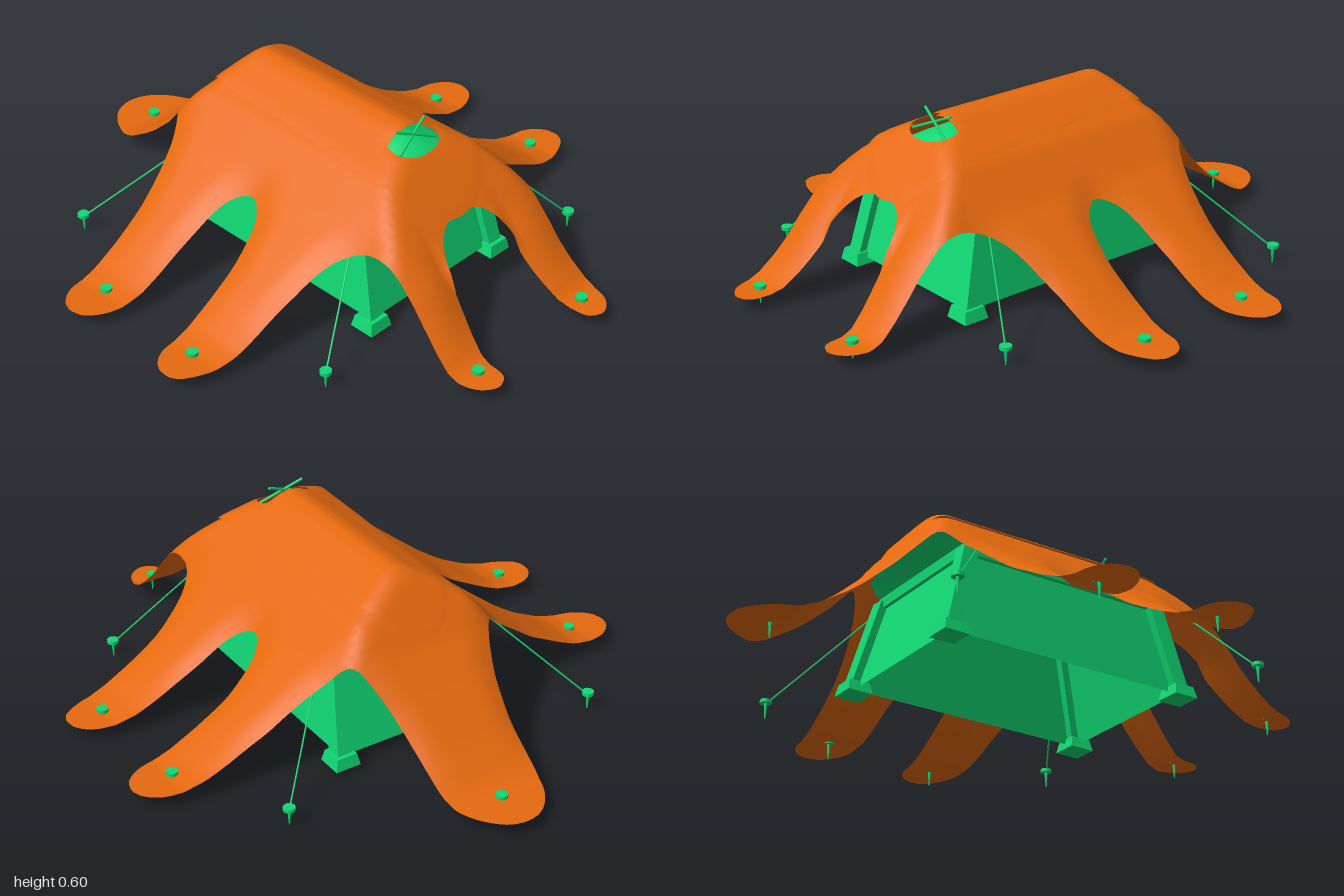
import * as THREE from 'three';

const V = (x, y, z) => new THREE.Vector3(x, y, z);
const hideMat = new THREE.MeshStandardMaterial({ color: 0xe5690f, side: THREE.DoubleSide });
const frameMat = new THREE.MeshStandardMaterial({ color: 0x10d873, side: THREE.DoubleSide });

// Piecewise-linear profile lookup
function profile(points, t) {
  let i = 1;
  while (i < points.length - 1 && points[i][0] < t) i++;
  const [a, ya] = points[i - 1], [b, yb] = points[i];
  return ya + (yb - ya) * THREE.MathUtils.clamp((t - a) / (b - a), 0, 1);
}

// Height of the draped hide: the lower of the side slope and the end slope, blended
const SIDE = [[0, 0.575], [0.04, 0.565], [0.2, 0.475], [0.33, 0.345], [0.5, 0.215], [0.65, 0.115], [0.73, 0.07], [0.8, 0.05], [1, 0.048]];
const END = [[-1, 0.048], [-0.85, 0.052], [-0.79, 0.08], [-0.7, 0.15], [-0.55, 0.285], [-0.45, 0.39], [-0.3, 0.58], [-0.2, 0.75],
  [0.26, 0.75], [0.36, 0.59], [0.45, 0.51], [0.6, 0.355], [0.7, 0.25], [0.8, 0.125], [0.86, 0.065], [0.9, 0.05], [1, 0.048]];
function drapeHeight(x, z) {
  const a = profile(SIDE, Math.abs(x)), b = profile(END, z), k = 0.05;
  const h = Math.max(k - Math.abs(a - b), 0) / k;
  return Math.max(Math.min(a, b) - h * h * k * 0.25, 0.046);
}

// Closed smooth outline from its +x half, listed from front centre to back centre
function mirroredOutline(half, samples) {
  const other = half.slice(1, -1).reverse().map(([x, z]) => [-x, z]);
  const pts = [...half, ...other].map(([x, z]) => V(x, 0, z));
  return new THREE.CatmullRomCurve3(pts, true, 'centripetal').getSpacedPoints(samples).slice(0, -1);
}

function inside(poly, x, z) {
  let hit = false;
  poly.forEach((p, i) => {
    const q = poly[(i + 1) % poly.length];
    if ((p.z > z) !== (q.z > z) && x < p.x + (q.x - p.x) * (z - p.z) / (q.z - p.z)) hit = !hit;
  });
  return hit;
}

// Cloth over the tent: grid cells inside the outline, with border points pulled onto it
function drapedCloth(outline, hole, step, heightAt) {
  const n = Math.ceil(1.04 / step), w = 2 * n + 1;
  const rims = [...outline, ...hole];
  const keep = (i, j) => {
    const x = (i + 0.5) * step, z = (j + 0.5) * step;
    return inside(outline, x, z) && !inside(hole, x, z);
  };
  const cells = new Set(), uses = new Map();
  for (let i = -n; i < n; i++) for (let j = -n; j < n; j++) {
    if (!keep(i, j)) continue;
    cells.add([i, j]);
    for (const [a, b] of [[0, 0], [0, 1], [1, 1], [1, 0]]) {
      const key = (i + a + n) * w + j + b + n;
      uses.set(key, (uses.get(key) || 0) + 1);
    }
  }
  const pos = [], ids = new Map(), index = [];
  for (const [key, count] of uses) {
    let x = (Math.floor(key / w) - n) * step, z = (key % w - n) * step;
    let best = Infinity, near = null;
    for (const p of rims) {
      const d = Math.hypot(p.x - x, p.z - z);
      if (d < best) { best = d; near = p; }
    }
    if (count < 4) { x = near.x; z = near.z; best = 0; }
    ids.set(key, pos.length / 3);
    pos.push(x, heightAt(x, z, best), z);
  }
  for (const [i, j] of cells) {
    const id = (a, b) => ids.get((i + a + n) * w + j + b + n);
    index.push(id(0, 0), id(0, 1), id(1, 1), id(0, 0), id(1, 1), id(1, 0));
  }
  const g = new THREE.BufferGeometry();
  g.setAttribute('position', new THREE.Float32BufferAttribute(pos, 3));
  g.setIndex(index);
  g.computeVertexNormals();
  return g;
}

export function createModel() {
  const model = new THREE.Group();
  const add = (name, geo, mat, parent = model) => {
    const m = new THREE.Mesh(geo, mat);
    m.name = name;
    parent.add(m);
    return m;
  };
  // Bar between two points; four sides gives a square timber
  const bar = (name, a, b, r, sides = 4, parent = model) => {
    const g = new THREE.CylinderGeometry(r, r, a.distanceTo(b), sides, 1);
    if (sides === 4) g.rotateY(Math.PI / 4);
    const m = add(name, sides === 4 ? g.toNonIndexed() : g, frameMat, parent);
    if (sides === 4) m.geometry.computeVertexNormals();
    m.position.copy(a).lerp(b, 0.5);
    m.quaternion.setFromUnitVectors(V(0, 1, 0), b.clone().sub(a).normalize());
    return m;
  };

  // Hide with seven legs: two front, two on each side, one at the back
  const hideOutline = mirroredOutline([[0, 0.6], [0.07, 0.6], [0.13, 0.65], [0.16, 0.76], [0.19, 0.88], [0.205, 0.97], [0.25, 0.993],
    [0.305, 0.96], [0.33, 0.89], [0.32, 0.74], [0.32, 0.6], [0.33, 0.49], [0.39, 0.415], [0.52, 0.365], [0.75, 0.34], [0.86, 0.31],
    [0.92, 0.265], [0.92, 0.2], [0.87, 0.15], [0.74, 0.13], [0.5, 0.11], [0.39, 0.08], [0.345, 0.02], [0.385, -0.05], [0.5, -0.09],
    [0.75, -0.1], [0.86, -0.12], [0.92, -0.17], [0.925, -0.235], [0.87, -0.29], [0.75, -0.31], [0.55, -0.33], [0.38, -0.365],
    [0.27, -0.42], [0.21, -0.52], [0.18, -0.65], [0.165, -0.82], [0.125, -0.92], [0.06, -0.985], [0, -1]], 640);
  const smokeHole = mirroredOutline([[0, 0.45], [0.05, 0.445], [0.088, 0.42], [0.095, 0.39], [0.085, 0.36], [0, 0.355]], 60);
  add('hide', drapedCloth(hideOutline, smokeHole, 0.02, (x, z, d) => {
    const y = drapeHeight(x, z);
    const droop = Math.max(1 - d / 0.09, 0) ** 2 * 0.025;
    return y - (Math.abs(x) < 0.15 && z > 0 ? 0 : droop * Math.min((y - 0.046) / 0.15, 1));
  }), hideMat);

  // Second layer along the ridge, lying just above the hide
  const coverOutline = mirroredOutline([[0, 0.605], [0.08, 0.59], [0.15, 0.55], [0.2, 0.49], [0.195, 0.42], [0.185, 0.2], [0.17, 0],
    [0.16, -0.3], [0.14, -0.365], [0.09, -0.425], [0.04, -0.447], [0, -0.45]], 260);
  add('ridgeCover', drapedCloth(coverOutline, smokeHole, 0.016, (x, z, d) => drapeHeight(x, z) + (d > 0 ? 0.012 : 0.009)), hideMat);

  // Inner roof under the hide
  const liningOutline = [V(-0.26, 0, -0.38), V(0.26, 0, -0.38), V(0.26, 0, 0.48), V(-0.26, 0, 0.48)];
  const lining = [];
  liningOutline.forEach((p, i) => {
    for (let t = 0; t < 20; t++) lining.push(p.clone().lerp(liningOutline[(i + 1) % 4], t / 20));
  });
  add('innerRoof', drapedCloth(lining, [], 0.04, (x, z) => drapeHeight(x, z) - 0.035), frameMat);

  // Timber frame: four leaning posts on feet, eave beams and sloping walls
  const base = [V(0.285, 0.04, 0.49), V(0.285, 0.04, -0.4), V(-0.285, 0.04, -0.4), V(-0.285, 0.04, 0.49)];
  const top = [V(0.25, 0.35, 0.415), V(0.25, 0.35, -0.315), V(-0.25, 0.35, -0.315), V(-0.25, 0.35, 0.415)];
  base.forEach((p, i) => {
    const j = (i + 1) % 4;
    bar('post', p, top[i], 0.038);
    bar('eaveBeam', top[i], top[j], 0.026);
    const foot = add('foot', new THREE.CylinderGeometry(0.052, 0.064, 0.04, 4).rotateY(Math.PI / 4).toNonIndexed(), frameMat);
    foot.geometry.computeVertexNormals();
    foot.position.set(p.x, 0.04, p.z);
    const wall = new THREE.BufferGeometry().setFromPoints([p, base[j], top[j], p, top[j], top[i]]);
    wall.computeVertexNormals();
    add('wall', wall, frameMat);
  });

  // Pegs: a flat round head on a slightly tilted spike
  const peg = (x, z) => {
    const g = new THREE.Group();
    g.name = 'peg';
    add('pegHead', new THREE.CylinderGeometry(0.02, 0.02, 0.012, 12), frameMat, g).position.y = 0.06;
    add('pegSpike', new THREE.CylinderGeometry(0.007, 0.002, 0.06, 8), frameMat, g).position.y = 0.03;
    g.position.set(x, 0, z);
    model.add(g);
  };
  peg(0, -0.865);
  for (const s of [1, -1]) {
    peg(s * 0.25, 0.905);
    peg(s * 0.805, 0.225);
    peg(s * 0.785, -0.205);
    // Guy ropes from the eaves to their own pegs
    for (const [z, eaveZ] of [[0.58, 0.42], [-0.565, -0.29]]) {
      peg(s * 0.58, z);
      bar('guyRope', V(s * 0.29, 0.365, eaveZ), V(s * 0.58, 0.052, z), 0.003, 6);
    }
    // Crossed sticks over the smoke hole
    bar('smokeHoleStick', V(s * -0.085, 0.525, 0.41), V(s * 0.065, 0.592, 0.375), 0.005, 6);
  }
  return model;
}
